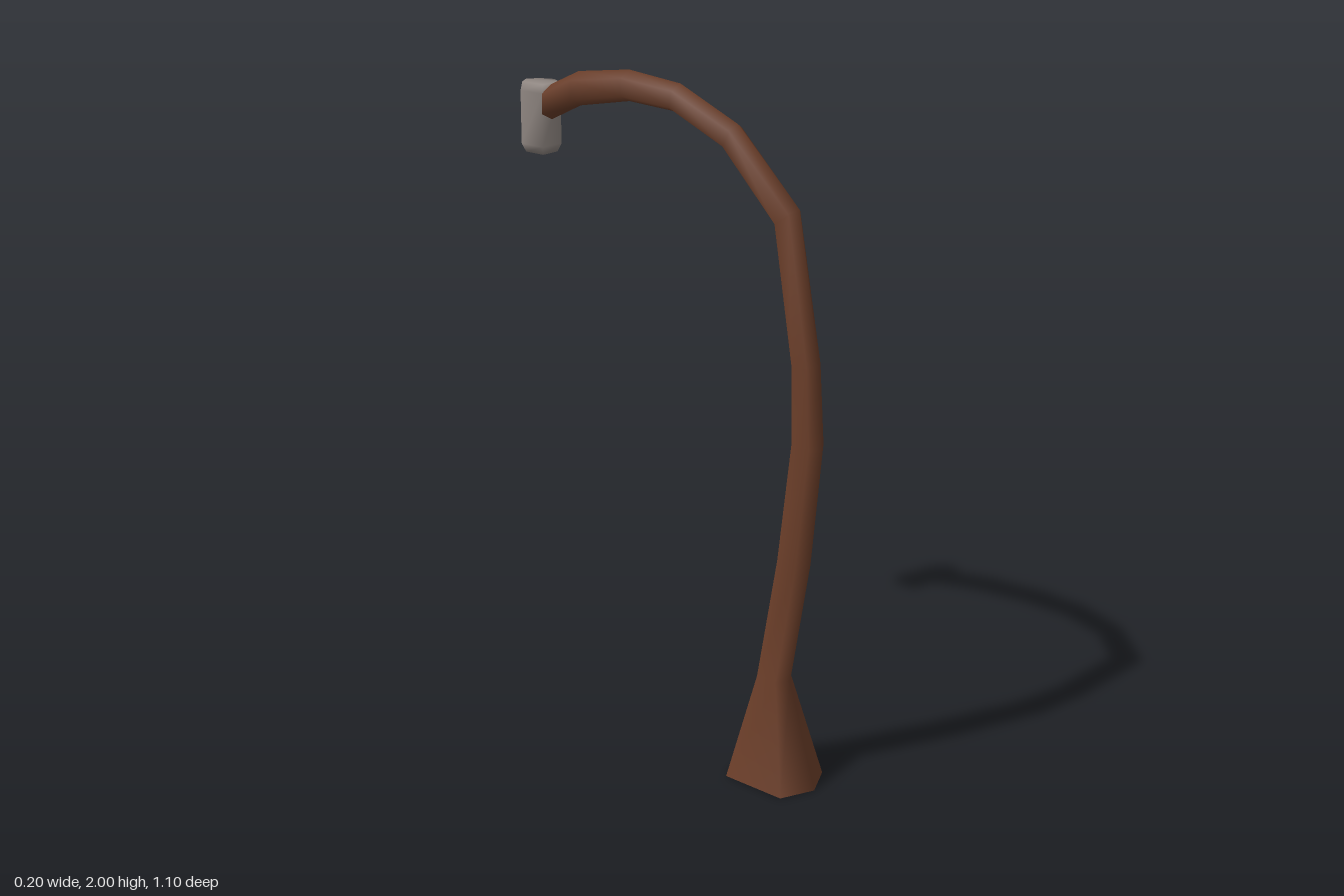
import * as THREE from 'three';

// Skin a stack of equal-sized rings of [x, y, z], listed bottom to top
function loft(rings, { bottom = false, top = false } = {}) {
  const n = rings[0].length, index = [];
  for (let r = 0; r < rings.length - 1; r++) {
    for (let i = 0; i < n; i++) {
      const a = r * n + i, b = r * n + (i + 1) % n;
      index.push(a, b, b + n, a, b + n, a + n);
    }
  }
  const last = (rings.length - 1) * n;
  for (let i = 1; i < n - 1; i++) {
    if (bottom) index.push(0, i + 1, i);
    if (top) index.push(last, last + i, last + i + 1);
  }
  const geometry = new THREE.BufferGeometry();
  geometry.setAttribute('position', new THREE.Float32BufferAttribute(rings.flat(2), 3));
  geometry.setIndex(index);
  geometry.computeVertexNormals();
  return geometry;
}

// Six-sided ring between an outer and an inner edge point, w = half width
function hexRing([zo, yo, zi, yi, w, s = 0.22, t = 0.8]) {
  const at = (x, k) => [x, yo + (yi - yo) * k, zo + (zi - zo) * k];
  return [at(0, 0), at(w, s), at(w, t), at(0, 1), at(-w, t), at(-w, s)];
}

export function createModel() {
  const brown = new THREE.MeshStandardMaterial({ name: 'rust brown', color: 0x6b3e29 });
  const grey = new THREE.MeshStandardMaterial({ name: 'warm grey', color: 0x8f8681 });
  const black = new THREE.MeshStandardMaterial({ name: 'underside black', color: 0x0c0a09 });
  const group = new THREE.Group();
  const add = (name, geometry, material) => {
    const mesh = new THREE.Mesh(geometry, material);
    mesh.name = name;
    group.add(mesh);
  };

  // Flared foot and bending pole: outer z, y, inner z, y, half width
  const stations = [
    [0.55, 0, 0.28, 0, 0.1, 0.17, 0.91],
    [0.455, 0.32, 0.34, 0.32, 0.036],
    [0.517, 0.7, 0.405, 0.7, 0.035],
    [0.548, 1.05, 0.447, 1.05, 0.034],
    [0.53, 1.28, 0.443, 1.27, 0.031],
    [0.453, 1.7, 0.374, 1.645, 0.026],
    [0.241, 1.9, 0.204, 1.825, 0.029],
    [0.04, 1.984, 0.02, 1.905, 0.032],
    [-0.146, 2, -0.146, 1.912, 0.035],
    [-0.337, 1.973, -0.331, 1.876, 0.038],
    [-0.447, 1.922, -0.447, 1.82, 0.04],
  ];
  const rings = stations.map(hexRing);
  add('pole', loft(rings), brown);

  // Flat underside of the foot
  add('footUnderside', loft([rings[0]], { bottom: true }), black);

  // Lamp head: uneven hexagonal block with softened ends
  const outline = [[0.038, -0.445], [0.062, -0.485], [0.04, -0.53], [0, -0.55], [-0.04, -0.53], [-0.04, -0.445]];
  const lampRing = ([y, sx, sz]) =>
    outline.map(([x, z]) => [0.01 + (x - 0.01) * sx, y, -0.497 + (z + 0.497) * sz]);
  const lamp = [[1.72, 0.78, 0.8], [1.745, 1, 1], [1.9, 1, 1], [1.925, 0.85, 0.97]].map(lampRing);
  add('lampHead', loft(lamp, { bottom: true, top: true }), grey);

  return group;
}
